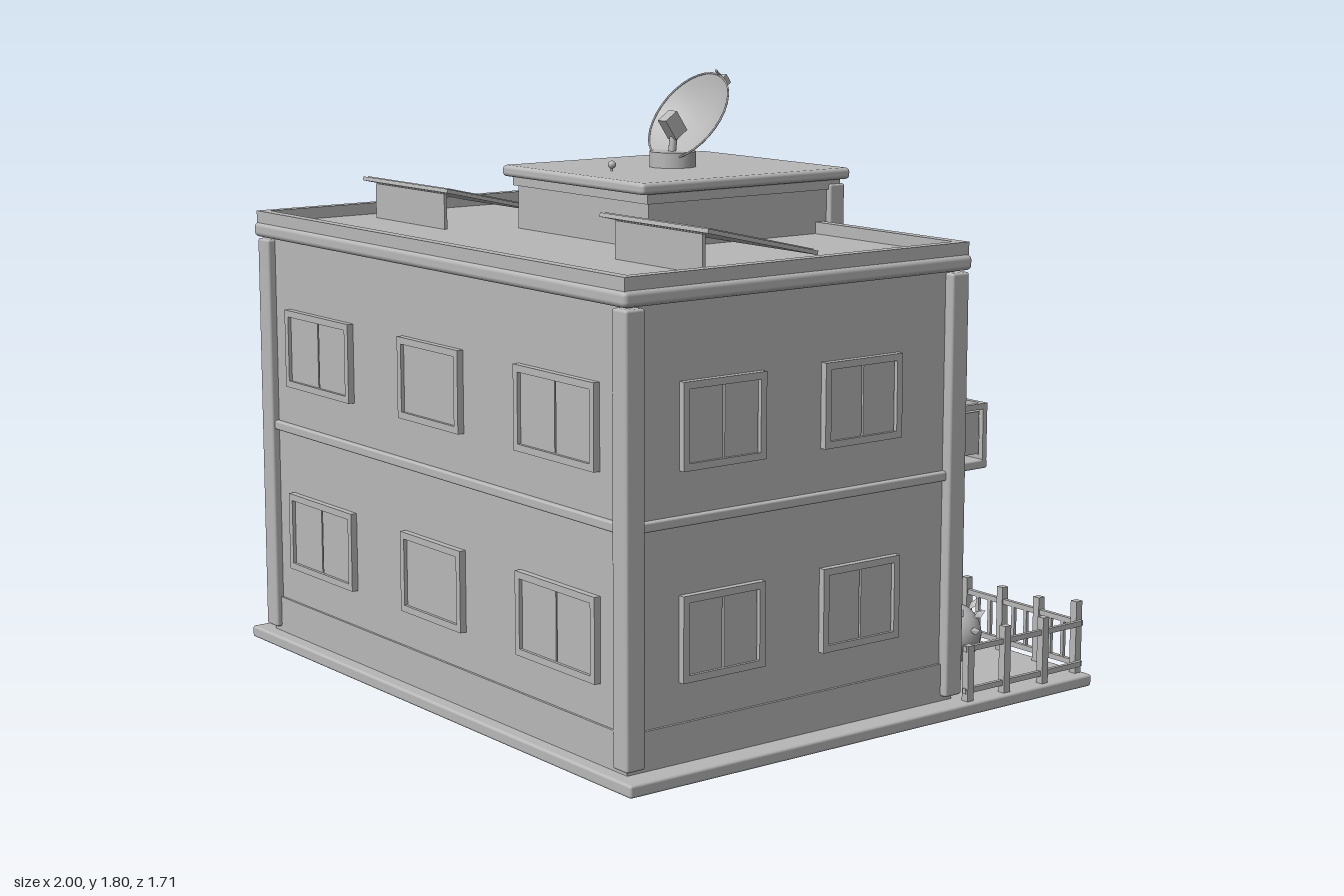
import * as THREE from 'three';
import { RoundedBoxGeometry } from 'three/addons/geometries/RoundedBoxGeometry.js';

const grey = new THREE.MeshStandardMaterial({ color: 0xb8b8b8 });
grey.name = 'plain grey';
const greyOpen = grey.clone();
greyOpen.side = THREE.DoubleSide;

function add(parent, name, geometry, x = 0, y = 0, z = 0, material = grey) {
  const m = new THREE.Mesh(geometry, material);
  m.name = name;
  m.position.set(x, y, z);
  parent.add(m);
  return m;
}

// Box given by its limits on each axis
function box(parent, name, x0, x1, y0, y1, z0, z1, round = 0) {
  const w = x1 - x0, h = y1 - y0, d = z1 - z0;
  const g = round ? new RoundedBoxGeometry(w, h, d, 2, round) : new THREE.BoxGeometry(w, h, d);
  return add(parent, name, g, (x0 + x1) / 2, (y0 + y1) / 2, (z0 + z1) / 2);
}

function rod(parent, name, a, b, r) {
  const p = new THREE.Vector3(...a), q = new THREE.Vector3(...b);
  const m = add(parent, name, new THREE.CylinderGeometry(r, r, p.distanceTo(q), 8));
  m.position.copy(p).lerp(q, 0.5);
  m.quaternion.setFromUnitVectors(new THREE.Vector3(0, 1, 0), q.sub(p).normalize());
}

// Framed window or door, facing +z before the turn
function opening(parent, name, x, y, z, turn, w, h, panes, handles = false) {
  const g = new THREE.Group();
  g.name = name;
  g.position.set(x, y, z);
  g.rotation.y = turn;
  parent.add(g);
  const t = 0.02, a = w / 2, b = h / 2;
  for (const s of [-1, 1]) {
    add(g, 'frameSide', new THREE.BoxGeometry(t, h, 0.03), s * (a - t / 2), 0, 0);
    add(g, 'frameRail', new THREE.BoxGeometry(w - 2 * t, t, 0.03), 0, s * (b - t / 2), 0);
  }
  const pw = (w - 2 * t) / panes;
  for (let i = 0; i < panes; i++) {
    const px = -a + t + pw * (i + 0.5);
    add(g, 'pane', new THREE.BoxGeometry(pw - 0.006, h - 2 * t, 0.008), px, 0, 0.002);
    if (handles) add(g, 'handle', new THREE.BoxGeometry(0.008, 0.12, 0.02), (i ? 1 : -1) * 0.025, 0, 0.012);
  }
}

// Round bush with pointed leaves
function bush(parent, x, z, r) {
  const g = new THREE.Group();
  g.name = 'bush';
  g.position.set(x, 0.04 + r * 0.97, z);
  parent.add(g);
  add(g, 'bushBall', new THREE.SphereGeometry(r, 24, 16));
  for (let i = 0; i < 11; i++) {
    const a = i * 2.4, up = 0.2 + 0.8 * (i / 11);
    const dir = new THREE.Vector3(Math.cos(a), up * 1.3, Math.sin(a)).normalize();
    const leaf = add(g, 'leaf', new THREE.OctahedronGeometry(1));
    leaf.scale.set(r * 0.13, r * 0.26, r * 0.03);
    leaf.position.copy(dir).multiplyScalar(r * 1.16);
    leaf.quaternion.setFromUnitVectors(new THREE.Vector3(0, 1, 0), dir);
  }
}

function buildHouse(g) {
  box(g, 'baseSlab', -1, 1, 0, 0.036, -0.855, 0.855, 0.008);
  box(g, 'walls', -0.92, 0.92, 0.03, 1.3, -0.345, 0.805);
  box(g, 'plinth', -0.928, 0.928, 0.03, 0.146, -0.352, 0.812);
  box(g, 'floorBand', -0.935, 0.935, 0.682, 0.71, -0.358, 0.82, 0.006);
  for (const s of [-1, 1]) {
    for (const z of [-0.34, 0.798]) {
      box(g, 'cornerColumn', s * 0.918 - 0.032, s * 0.918 + 0.032, 0.05, 1.275, z - 0.032, z + 0.032, 0.008);
    }
  }
  // Roof deck, cornice and parapet
  box(g, 'cornice', -0.957, 0.957, 1.28, 1.325, -0.378, 0.84, 0.015);
  for (const s of [-1, 1]) {
    box(g, 'parapetSide', s * 0.931 - 0.016, s * 0.931 + 0.016, 1.32, 1.36, -0.37, 0.832);
    const z = s > 0 ? 0.816 : -0.354;
    box(g, 'parapetEnd', -0.916, 0.916, 1.32, 1.36, z - 0.016, z + 0.016);
  }
  // Front and side windows on both floors
  for (const y of [0.949, 0.376]) {
    for (const s of [-1, 1]) {
      opening(g, 'frontWindow', s * 0.617, y, 0.81, 0, 0.37, 0.238, 2);
      for (const z of [0.494, 0.007]) opening(g, 'sideWindow', s * 0.925, y, z, s * Math.PI / 2, 0.28, 0.238, 2);
    }
    opening(g, 'middleWindow', 0, y, 0.81, 0, 0.315, 0.238, 1);
  }
}

function buildTower(g) {
  box(g, 'towerWalls', -0.325, 0.325, 0.03, 1.49, -0.415, 0.283);
  box(g, 'towerTrim', -0.335, 0.335, 1.455, 1.485, -0.425, 0.295);
  box(g, 'towerRoof', -0.352, 0.352, 1.483, 1.517, -0.452, 0.325, 0.012);
  for (const s of [-1, 1]) {
    box(g, 'towerColumn', s * 0.318 - 0.025, s * 0.318 + 0.025, 0.05, 1.47, -0.436, -0.38, 0.006);
  }
  opening(g, 'towerWindow', 0, 1.08, -0.418, Math.PI, 0.375, 0.46, 2);
  opening(g, 'entranceDoor', 0, 0.27, -0.418, Math.PI, 0.38, 0.46, 2, true);
  box(g, 'canopy', -0.285, 0.285, 0.56, 0.583, -0.57, -0.41);
  box(g, 'canopyLip', -0.27, 0.27, 0.545, 0.562, -0.555, -0.41);
  add(g, 'roofVent', new THREE.SphereGeometry(0.012, 12, 8), 0, 1.535, 0.172);
  add(g, 'ventStem', new THREE.CylinderGeometry(0.004, 0.004, 0.03, 8), 0, 1.522, 0.172);
}

function buildBalcony(g, s) {
  const b = new THREE.Group();
  b.name = 'balcony';
  g.add(b);
  const x0 = s > 0 ? 0.345 : -0.877, x1 = s > 0 ? 0.877 : -0.345;
  box(b, 'balconyFloor', x0, x1, 0.683, 0.71, -0.527, -0.35, 0.006);
  box(b, 'frontRail', x0, x1, 0.858, 0.875, -0.522, -0.505);
  box(b, 'frontRailLow', x0, x1, 0.71, 0.722, -0.52, -0.507);
  for (const x of [x0, (x0 + x1 - 0.016) / 2, x1 - 0.016]) {
    box(b, 'railPost', x, x + 0.016, 0.7, 0.87, -0.522, -0.506);
  }
  box(b, 'frontPanel', x0 + 0.016, x1 - 0.016, 0.728, 0.852, -0.516, -0.509);
  for (const x of [x0, x1 - 0.016]) {
    box(b, 'sideRail', x, x + 0.016, 0.858, 0.875, -0.506, -0.35);
    box(b, 'sidePanel', x + 0.005, x + 0.011, 0.728, 0.852, -0.495, -0.36);
  }
  opening(g, 'balconyDoor', s * 0.605, 0.889, -0.35, Math.PI, 0.36, 0.36, 2);
  opening(g, 'backWindow', s * 0.605, 0.376, -0.35, Math.PI, 0.42, 0.238, 2);
}

function buildRoofPanel(g, s) {
  const panel = add(g, 'slopedPanel', new THREE.BoxGeometry(0.482, 0.012, 0.39), s * 0.626, 1.402, 0.308);
  panel.rotation.x = -0.225;
  const inset = add(panel, 'panelFace', new THREE.BoxGeometry(0.462, 0.004, 0.37), 0, 0.007, 0);
  inset.name = 'panelFace';
  box(g, 'panelSupport', s * 0.626 - 0.195, s * 0.626 + 0.195, 1.32, 1.432, 0.47, 0.48);
}

function buildDish(g) {
  const d = new THREE.Group();
  d.name = 'dishAerial';
  g.add(d);
  add(d, 'pedestal', new THREE.CylinderGeometry(0.07, 0.07, 0.046, 24), 0, 1.54, -0.053);
  // Bowl opening to the front and upward
  const profile = [];
  for (let i = 0; i <= 8; i++) profile.push(new THREE.Vector2(0.155 * i / 8, 0.05 * (i / 8) ** 2 - 0.05));
  const bowl = add(d, 'bowl', new THREE.LatheGeometry(profile, 32), 0, 1.664, -0.112, greyOpen);
  bowl.rotation.x = 0.945;
  const rim = add(bowl, 'bowlRim', new THREE.TorusGeometry(0.154, 0.003, 6, 32));
  rim.rotation.x = Math.PI / 2;
  const head = add(d, 'receiver', new THREE.BoxGeometry(0.04, 0.07, 0.05), 0, 1.64, -0.053);
  head.rotation.x = 0.6;
  rod(d, 'receiverStem', [0, 1.55, -0.05], [0, 1.63, -0.06], 0.012);
  // Struts meeting behind the upper rim
  for (const s of [-1, 1]) rod(d, 'strut', [s * 0.05, 1.73, -0.2], [0, 1.768, -0.248], 0.004);
  rod(d, 'crossStrut', [0.06, 1.8, -0.17], [0, 1.765, -0.25], 0.004);
  add(d, 'strutTip', new THREE.BoxGeometry(0.024, 0.03, 0.024), 0, 1.765, -0.248).rotation.x = 0.6;
}

function buildFence(g, s) {
  const f = new THREE.Group();
  f.name = 'fence';
  g.add(f);
  const rail = (y) => {
    box(f, 'backRail', Math.min(s * 0.17, s * 0.975), Math.max(s * 0.17, s * 0.975), y - 0.008, y + 0.008, -0.838, -0.824);
    box(f, 'sideRail', s * 0.972 - 0.006, s * 0.972 + 0.006, y - 0.008, y + 0.008, -0.83, -0.36);
  };
  rail(0.19);
  rail(0.066);
  const post = (x, z, h) => box(f, 'post', x - 0.012, x + 0.012, 0.03, h, z - 0.012, z + 0.012);
  for (let i = 0; i < 6; i++) {
    const x = s * (0.178 + 0.155 * i);
    post(x, -0.832, i % 5 ? 0.235 : 0.255);
    if (i < 5) for (const k of [0.052, 0.104]) {
      box(f, 'picket', x + s * k - 0.006, x + s * k + 0.006, 0.06, 0.195, -0.836, -0.826);
    }
  }
  for (const z of [-0.675, -0.52]) post(s * 0.972, z, 0.235);
  post(s * 0.972, -0.375, 0.2);
}

export function createModel() {
  const g = new THREE.Group();
  g.name = 'house';
  buildHouse(g);
  buildTower(g);
  buildDish(g);
  for (const s of [-1, 1]) {
    buildBalcony(g, s);
    buildRoofPanel(g, s);
    buildFence(g, s);
    bush(g, s * 0.655, -0.605, 0.093);
    bush(g, s * 0.36, -0.475, 0.062);
  }
  // Entrance path with stepping slabs
  box(g, 'path', -0.16, 0.16, 0.03, 0.042, -0.85, -0.42);
  for (const z of [-0.765, -0.652, -0.54]) box(g, 'pathSlab', -0.12, 0.12, 0.035, 0.052, z - 0.042, z + 0.042);
  return g;
}
